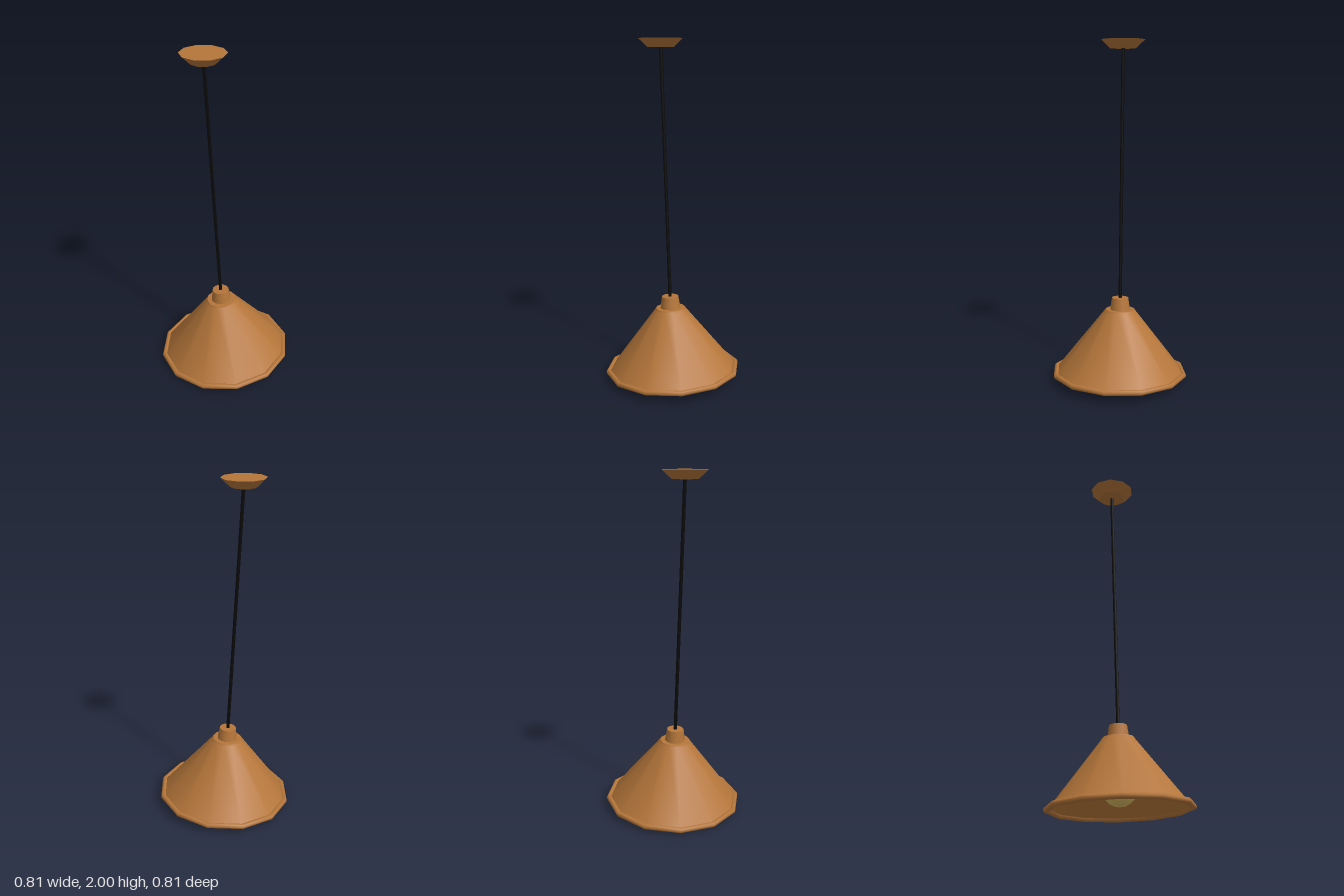
import * as THREE from 'three';

const mat = (name, color, side = THREE.FrontSide) => {
  const m = new THREE.MeshStandardMaterial({ color, side });
  m.name = name;
  return m;
};

export function createModel() {
  const copper = mat('copper', 0xb5763a);
  const black = mat('black cord', 0x0a0a0a);
  const glow = mat('bulb yellow', 0xdcbc62);

  const model = new THREE.Group();
  model.name = 'pendantLamp';

  const add = (parent, name, geometry, material, y = 0) => {
    const mesh = new THREE.Mesh(geometry, material);
    mesh.name = name;
    mesh.position.y = y;
    parent.add(mesh);
    return mesh;
  };
  // Each profile is smooth in itself; separate profiles meet in sharp edges
  const lathe = (points) =>
    new THREE.LatheGeometry(points.map(([r, y]) => new THREE.Vector2(r, y)), 12);

  // Everything below the ceiling swings slightly to one side
  const axis = new THREE.Vector3(-0.05, 1, 0.029).normalize();
  const swing = new THREE.Group();
  swing.name = 'hangingPart';
  swing.position.y = 0.038;
  swing.quaternion.setFromUnitVectors(new THREE.Vector3(0, 1, 0), axis);
  model.add(swing);

  // Conical shade with inner wall, rolled rim and flat shoulder
  add(swing, 'shadeOuter', lathe([[0.378, 0.012], [0.092, 0.376]]), copper);
  add(swing, 'shadeInner', lathe([[0.082, 0.37], [0.37, 0.004]]), copper);
  add(swing, 'shadeCeiling', lathe([[0, 0.37], [0.082, 0.37]]), copper);
  add(swing, 'shadeRim', lathe([
    [0.37, 0.004], [0.375, -0.01], [0.388, -0.015], [0.401, -0.009],
    [0.406, 0.002], [0.401, 0.014], [0.39, 0.019], [0.378, 0.012],
  ]), copper);
  add(swing, 'shoulder', lathe([[0.092, 0.376], [0.088, 0.383]]), copper);
  add(swing, 'shoulderTop', lathe([[0.088, 0.383], [0, 0.383]]), copper);

  // Neck above the shade and socket inside it
  add(swing, 'neck', new THREE.CylinderGeometry(0.05, 0.06, 0.07, 12), copper, 0.418);
  add(swing, 'socket', new THREE.CylinderGeometry(0.045, 0.045, 0.2, 12), copper, 0.275);

  // Bulb
  add(swing, 'bulb', new THREE.SphereGeometry(0.097, 14, 10), glow, 0.105);

  // Cord up to the ceiling
  const cordBottom = 0.44, cordTop = 1.925;
  add(swing, 'cord', new THREE.CylinderGeometry(0.01, 0.01, cordTop - cordBottom, 8),
    black, (cordBottom + cordTop) / 2);

  // Ceiling mount, level and ten-sided
  const mount = add(model, 'ceilingMount',
    new THREE.CylinderGeometry(0.128, 0.075, 0.05, 10), copper, 1.975);
  mount.position.x = -0.097;
  mount.position.z = 0.057;

  return model;
}
